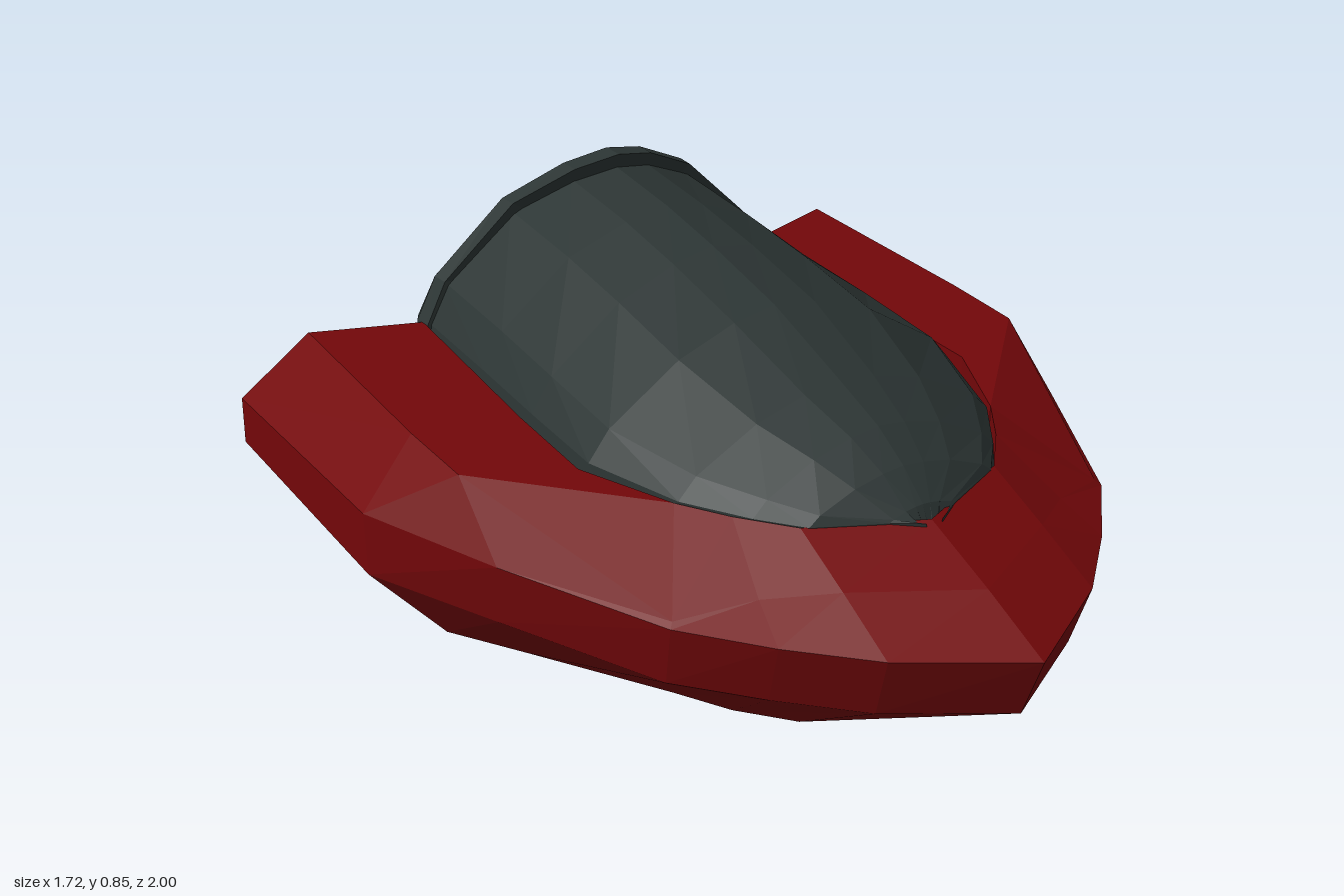
import * as THREE from 'three';

const red = new THREE.MeshStandardMaterial({ color: 0x730709 });
red.name = 'dark red';
const slate = new THREE.MeshStandardMaterial({ color: 0x2b3433 });
slate.name = 'slate';
const blue = new THREE.MeshStandardMaterial({ color: 0x4fafe0 });
blue.name = 'sky blue';

// Faceted solid through a list of rings, closed with a fan at both ends.
// Each ring runs counter-clockwise about the direction of travel.
// Spans before index "mirrorAt" use the opposite diagonal, so mirrored halves match.
function loft(rings, mirrorAt = 0) {
  const pos = [];
  const tri = (...pts) => pts.forEach((p) => pos.push(...p));
  const n = rings[0].length;
  for (let i = 0; i < rings.length - 1; i++) {
    const a = rings[i], b = rings[i + 1];
    for (let j = 0; j < n; j++) {
      const k = (j + 1) % n;
      if (i < mirrorAt) {
        tri(a[j], a[k], b[j]);
        tri(a[k], b[k], b[j]);
      } else {
        tri(a[j], a[k], b[k]);
        tri(a[j], b[k], b[j]);
      }
    }
  }
  const cap = (ring, flip) => {
    const c = centre(ring);
    for (let j = 0; j < n; j++) {
      const k = (j + 1) % n;
      if (flip) tri(c, ring[k], ring[j]);
      else tri(c, ring[j], ring[k]);
    }
  };
  cap(rings[0], true);
  cap(rings[rings.length - 1], false);
  const g = new THREE.BufferGeometry();
  g.setAttribute('position', new THREE.Float32BufferAttribute(pos, 3));
  g.computeVertexNormals();
  return g;
}

function centre(ring) {
  return [0, 1, 2].map((q) => ring.reduce((s, p) => s + p[q], 0) / ring.length);
}

function addMesh(group, name, geometry, material) {
  const m = new THREE.Mesh(geometry, material);
  m.name = name;
  group.add(m);
  return m;
}

const DECK = 0.475, FLOOR = 0.19;

// U-shaped hull: sections from the nose to the tip of one arm, then mirrored
function hullGeometry() {
  const section = ([ix, iz], ridge, up, [lx, lz], bottom) =>
    [[ix, DECK, iz], ridge, up, [lx, 0.19, lz], bottom, [ix, 0.02, iz]];
  const half = [
    section([0, 0.63], [0, 0.41, 0.82], [0, 0.34, 1], [0, 0.94], [0, 0.02, 0.64]),
    section([0.24, 0.52], [0.245, 0.41, 0.68], [0.25, 0.34, 0.84], [0.24, 0.79], [0.245, 0.02, 0.53]),
    section([0.33, 0.41], [0.375, 0.385, 0.58], [0.4, 0.34, 0.69], [0.39, 0.64], [0.34, 0.02, 0.42]),
    section([0.4, 0.3], [0.53, 0.35, 0.51], [0.54, 0.34, 0.52], [0.53, 0.48], [0.41, 0.02, 0.3]),
    section([0.495, 0.07], [0.715, DECK, -0.04], [0.72, 0.34, 0.13], [0.71, 0.1], [0.6, 0.02, 0]),
    section([0.49, -0.2], [0.72, DECK, -0.26], [0.86, 0.34, -0.22], [0.86, -0.22], [0.71, 0.02, -0.17]),
    section([0.46, -0.76], [0.71, DECK, -0.85], [0.86, 0.31, -0.93], [0.86, -0.94], [0.71, 0, -0.84]),
  ];
  // Recessed socket in the arm end
  const tip = half[half.length - 1], mid = centre(tip);
  const inset = tip.map((p) => p.map((v, q) => v + (mid[q] - v) * 0.15));
  half.push(inset, inset.map(([x, y, z]) => [x, y, z + 0.04]));
  const mirrored = half.slice(1).reverse().map((r) => r.map(([x, y, z]) => [-x, y, z]));
  return loft([...mirrored, ...half], mirrored.length);
}

// Arched ring; its top sits at zTop and its base, splayed below the deck, at zBase
const ARCH = [[1, 0], [0.89, 0.27], [0.52, 0.73], [0.22, 0.93]];
function archRing([zTop, zBase, w, h]) {
  const pt = ([u, v]) => [u * w, DECK + v * h, zBase + (zTop - zBase) * v ** 4];
  const right = ARCH.map(([u, v]) => pt([-u, v]));
  const left = ARCH.map(pt).reverse();
  return [[-w * 1.1, FLOOR, zBase], ...right, pt([0, 1]), ...left, [w * 1.1, FLOOR, zBase]];
}

// Faceted ball with its pole facing the rear, cut flat at height "low"
function ballGeometry(r, low) {
  const g = new THREE.SphereGeometry(r, 8, 6).rotateX(-Math.PI / 2).toNonIndexed();
  const p = g.attributes.position;
  for (let i = 0; i < p.count; i++) p.setY(i, Math.max(p.getY(i), low));
  g.computeVertexNormals();
  return g;
}

export function createModel() {
  const model = new THREE.Group();
  model.name = 'hovercraft';

  addMesh(model, 'hull', hullGeometry(), red);

  // Canopy shell with a flat underside
  addMesh(model, 'canopy', loft([
    [0.64, 0.64, 0.02, -0.06],
    [0.6, 0.6, 0.08, 0.02],
    [0.53, 0.53, 0.225, 0.075],
    [0.44, 0.44, 0.3, 0.125],
    [0.3, 0.3, 0.39, 0.17],
    [0.05, 0.06, 0.465, 0.245],
    [-0.2, -0.2, 0.462, 0.29],
    [-0.4, -0.45, 0.455, 0.317],
    [-0.64, -0.76, 0.45, 0.335],
  ].map(archRing)), slate);

  // Raised rim and rear wall behind the canopy
  addMesh(model, 'rearRim', loft([
    [-0.62, -0.735, 0.46, 0.37],
    [-0.68, -0.78, 0.465, 0.368],
    [-0.72, -0.8, 0.455, 0.335],
  ].map(archRing)), slate);

  // Engine glow: one large ball in the middle, one small at each arm end
  const main = addMesh(model, 'mainEngine', ballGeometry(0.29, -0.15), blue);
  main.position.set(0, 0.48, -0.71);
  main.scale.set(1.1, 0.96, 1);
  for (const side of [-1, 1]) {
    const e = addMesh(model, side > 0 ? 'leftEngine' : 'rightEngine', ballGeometry(0.18, -0.155), blue);
    e.position.set(side * 0.61, 0.25, -0.815);
  }
  return model;
}
